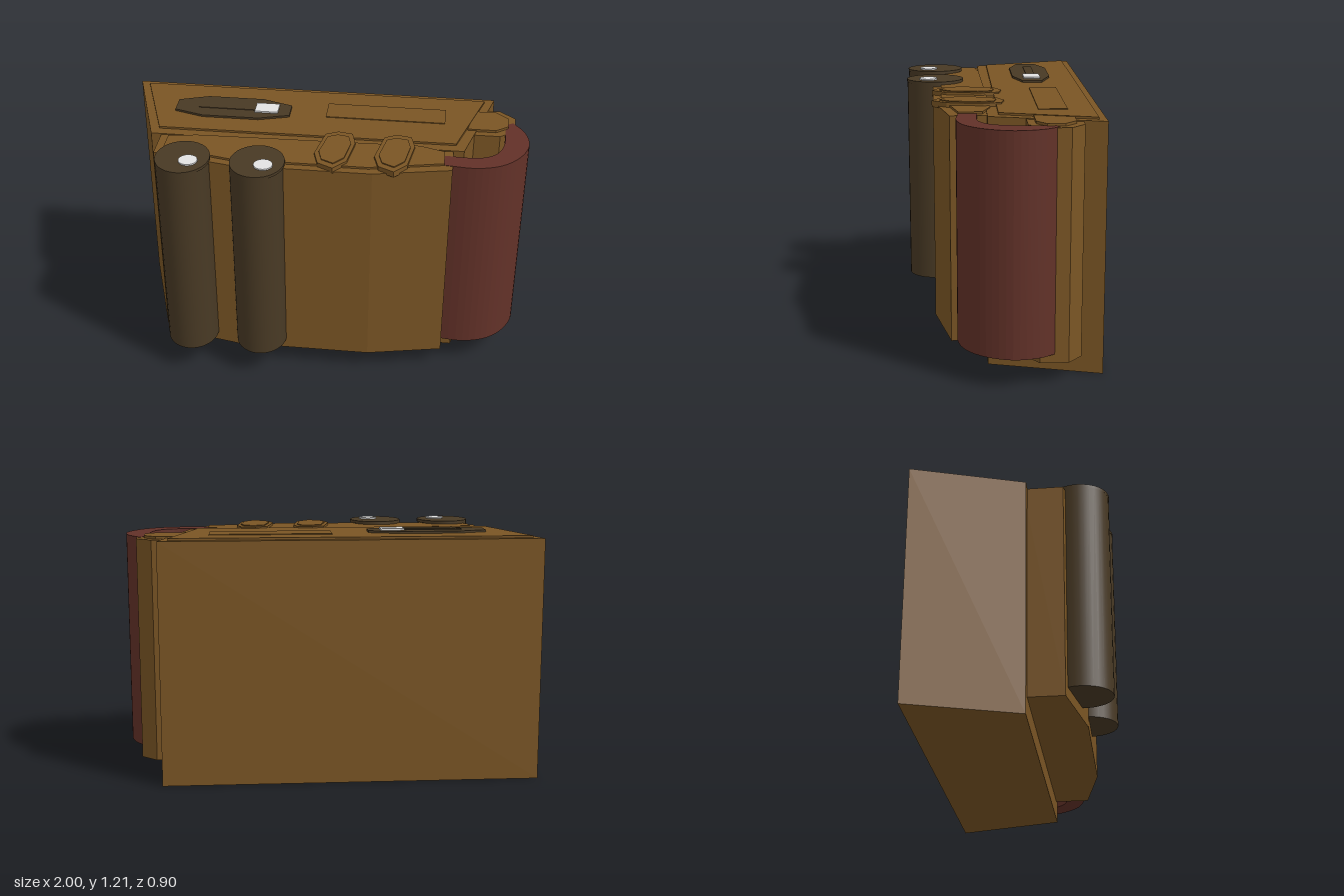
import * as THREE from 'three';

export function createModel() {
  const model = new THREE.Group();
  const mat = (name, color) => new THREE.MeshStandardMaterial({ name, color });
  const brown = mat('brown', 0x7a5524);
  const dark = mat('dark brown', 0x483924);
  const red = mat('dark red', 0x623128);
  const pale = mat('pale grey', 0xe2e2e2);

  // Upright prism from a plan outline given as [x, z] points
  function prism(name, pts, y0, y1, material) {
    const shape = new THREE.Shape(pts.map(([x, z]) => new THREE.Vector2(x, -z)));
    const geo = new THREE.ExtrudeGeometry(shape, { depth: y1 - y0, bevelEnabled: false });
    geo.rotateX(-Math.PI / 2);
    geo.translate(0, y0, 0);
    const mesh = new THREE.Mesh(geo, material);
    mesh.name = name;
    model.add(mesh);
    return mesh;
  }
  const rect = (x0, x1, z0, z1) => [[x0, z0], [x1, z0], [x1, z1], [x0, z1]];

  // Oval column standing on y0
  function column(name, x, z, rx, rz, y0, y1, material) {
    const geo = new THREE.CylinderGeometry(1, 1, y1 - y0, 32);
    geo.scale(rx, 1, rz);
    const mesh = new THREE.Mesh(geo, material);
    mesh.name = name;
    mesh.position.set(x, (y0 + y1) / 2, z);
    model.add(mesh);
  }

  // Main hopper and its raised face panel
  prism('hopper', [[-1, -0.455], [0.83, -0.455], [0.69, 0.07], [-0.83, 0.07]], 0, 1.183, brown);
  prism('hopperPanel', [[-0.95, -0.42], [0.78, -0.42], [0.65, 0.02], [-0.8, 0.02]], 1.18, 1.193, brown);
  prism('hopperInset', rect(0, 0.59, -0.3, -0.165), 1.19, 1.197, brown);

  // Lower body with chamfered front
  prism('chassis', [[-0.78, 0.05], [0.64, 0.05], [0.64, 0.24], [0.27, 0.315],
    [-0.4, 0.315], [-0.78, 0.24]], 0.1, 1.178, brown);
  prism('chassisPanel', [[-0.74, 0.09], [-0.6, 0.07], [0.48, 0.05], [0.6, 0.09], [0.6, 0.2],
    [0.25, 0.275], [-0.4, 0.275], [-0.74, 0.2]], 1.175, 1.188, brown);

  // Faceted socket at the side
  prism('socket', [[0.7, -0.35], [0.86, -0.35], [0.935, -0.285], [0.935, -0.155],
    [0.86, -0.1], [0.7, -0.1]], 0.1, 1.178, brown);
  prism('socketPanel', [[0.74, -0.315], [0.84, -0.315], [0.9, -0.26], [0.9, -0.18],
    [0.84, -0.135], [0.7, -0.135]], 1.175, 1.19, brown);

  // Curved hose from the chassis to the socket
  const outer = new THREE.CatmullRomCurve3([[0.6, 0.2], [0.75, 0.212], [0.87, 0.175], [0.955, 0.09],
    [1, -0.03], [0.98, -0.15], [0.925, -0.235]].map(([x, z]) => new THREE.Vector3(x, 0, z)));
  const inner = new THREE.CatmullRomCurve3([[0.89, -0.215], [0.885, -0.12], [0.88, -0.02], [0.845, 0.07],
    [0.77, 0.115], [0.6, 0.115]].map(([x, z]) => new THREE.Vector3(x, 0, z)));
  const outline = [...outer.getPoints(24), ...inner.getPoints(24)].map((p) => [p.x, p.z]);
  prism('hose', outline, 0.142, 1.18, red);

  // Two oval rollers with caps and hubs
  for (const x of [-0.625, -0.27]) {
    column('roller', x - 0.003, 0.305, 0.127, 0.143, 0.155, 1.196, dark);
    column('rollerCap', x, 0.305, 0.13, 0.145, 1.19, 1.204, dark);
    column('rollerHub', x + 0.034, 0.34, 0.045, 0.045, 1.2, 1.211, pale);
  }

  // Two raised plates, each stepped
  const plate = [[0.08, -0.02], [0.15, -0.005], [0.17, 0.08], [0.145, 0.25],
    [0.085, 0.32], [0.01, 0.28], [-0.015, 0.19], [0.02, 0.01]];
  for (const dx of [0, 0.285]) {
    const at = (s) => plate.map(([x, z]) => [0.08 + (x - 0.08) * s + dx, 0.15 + (z - 0.15) * s]);
    prism('plate', at(1), 1.17, 1.2, brown);
    prism('plateTop', at(0.78), 1.195, 1.205, brown);
  }

  // Dark window with a slim bar and a pale light
  prism('window', [[-0.755, -0.245], [-0.61, -0.295], [-0.33, -0.295], [-0.18, -0.245],
    [-0.18, -0.145], [-0.33, -0.1], [-0.61, -0.1], [-0.755, -0.145]], 1.19, 1.203, dark);
  prism('windowBar', rect(-0.64, -0.25, -0.22, -0.175), 1.2, 1.206, dark);
  prism('windowLight', rect(-0.355, -0.24, -0.24, -0.155), 1.2, 1.211, pale);

  return model;
}
